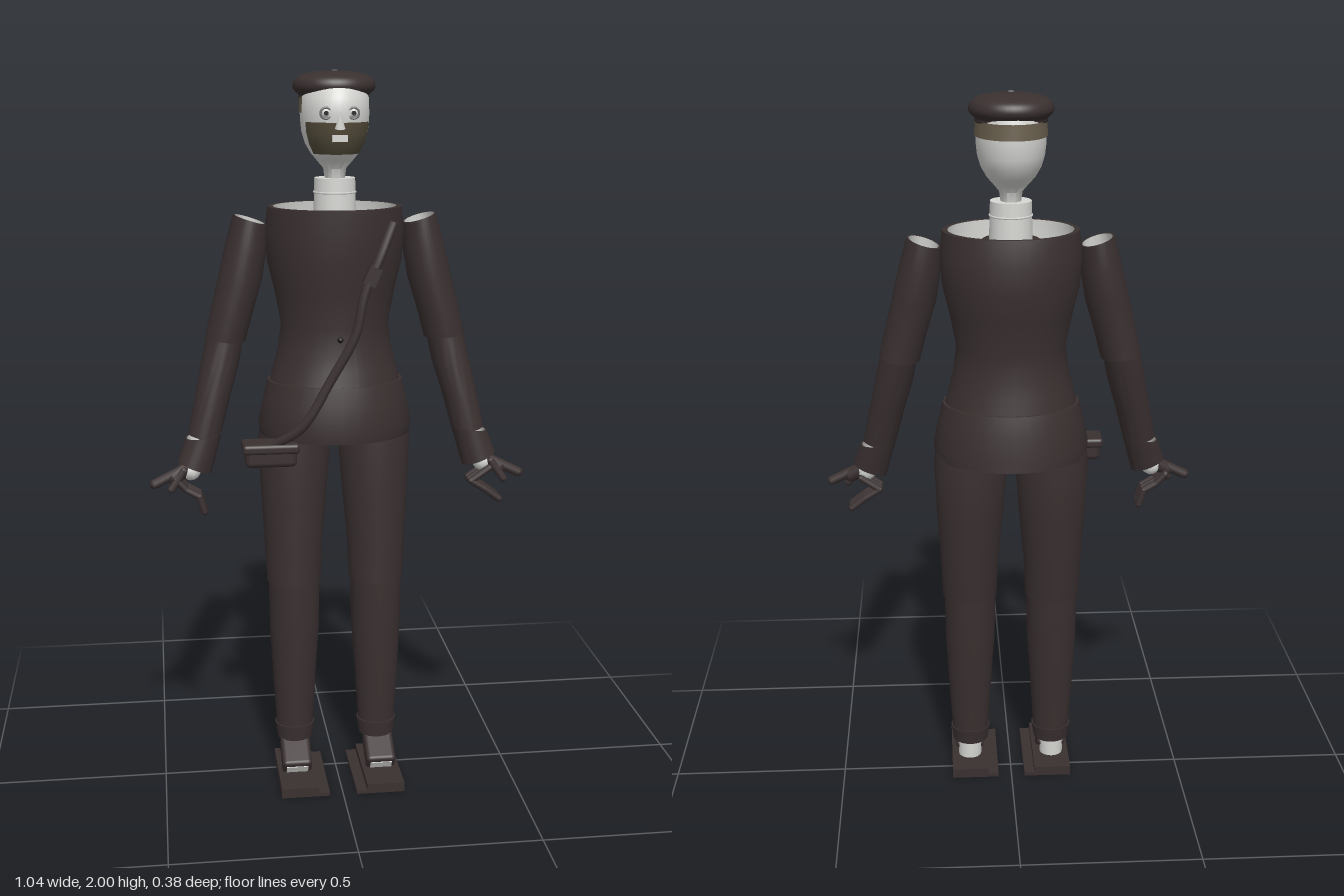
import * as THREE from 'three';
import { toCreasedNormals } from 'three/addons/utils/BufferGeometryUtils.js';
import { RoundedBoxGeometry } from 'three/addons/geometries/RoundedBoxGeometry.js';

const mat = (name, color) => {
  const m = new THREE.MeshStandardMaterial({ color });
  m.name = name;
  return m;
};

// Surface through elliptical rings [x, y, z, rx, rz, tilt], listed bottom to top
function loft(rings, { n = 32, a0 = 0, a1 = Math.PI * 2, cap = false, flip = false } = {}) {
  const pos = [], idx = [];
  const list = rings.slice();
  if (cap) {
    const shut = r => [r[0], r[1], r[2], 0.0005, 0.0005, 0];
    list.unshift(shut(rings[0]));
    list.push(shut(rings[rings.length - 1]));
  }
  for (const [x, y, z, rx, rz, tilt = 0] of list) {
    for (let j = 0; j <= n; j++) {
      const t = a0 + (a1 - a0) * j / n;
      pos.push(x + rx * Math.sin(t), y + tilt * Math.sin(t), z + rz * Math.cos(t));
    }
  }
  for (let i = 0; i < list.length - 1; i++) {
    for (let j = 0; j < n; j++) {
      const a = i * (n + 1) + j, b = a + 1, c = b + n + 1, d = a + n + 1;
      if (flip) idx.push(a, c, b, a, d, c);
      else idx.push(a, b, c, a, c, d);
    }
  }
  const g = new THREE.BufferGeometry();
  g.setAttribute('position', new THREE.Float32BufferAttribute(pos, 3));
  g.setIndex(idx);
  return toCreasedNormals(g, 0.8);
}

const inset = (r, k) => [r[0], r[1], r[2], r[3] * k, r[4] * k, (r[5] || 0) * k];
const grow = (rings, d) => rings.map(r => [r[0], r[1], r[2], r[3] + d, r[4] + d, r[5]]);

export function createModel() {
  const model = new THREE.Group();
  const cloth = mat('dark cloth', 0x3a3030);
  const skin = mat('pale grey', 0xd6d6d3);
  const beardMat = mat('olive brown', 0x554d3c);
  const hairMat = mat('hair brown', 0x6a604e);
  const eyeMat = mat('eye grey', 0x77777a);
  const black = mat('black', 0x1c1818);

  const add = (name, geo, m, x = 0, y = 0, z = 0, parent = model) => {
    const mesh = new THREE.Mesh(geo, m);
    mesh.name = name;
    mesh.position.set(x, y, z);
    parent.add(mesh);
    return mesh;
  };
  // Hollow garment: cloth outside with folded rims, pale lining inside
  const garment = (name, rings, parent = model, k = 0.92) => {
    const first = rings[0], last = rings[rings.length - 1];
    add(name, loft([inset(first, k), ...rings, inset(last, k)]), cloth, 0, 0, 0, parent);
    add(name + 'Lining', loft(rings.map(r => inset(r, k)), { flip: true }), skin, 0, 0, 0, parent);
  };
  // Rod between two points
  const rod = (name, a, b, r, m, parent) => {
    const p = new THREE.Vector3(...a), q = new THREE.Vector3(...b), d = q.clone().sub(p);
    const mesh = add(name, new THREE.CapsuleGeometry(r, d.length(), 4, 10), m, 0, 0, 0, parent);
    mesh.position.copy(p).add(q).multiplyScalar(0.5);
    mesh.quaternion.setFromUnitVectors(new THREE.Vector3(0, 1, 0), d.normalize());
  };

  // Jacket: [y, half width, front z, back z]
  const ring = ([y, rx, f, b]) => [0, y, (f + b) / 2, rx, (f - b) / 2];
  const jacket = [
    [1.165, 0.182, 0.128, -0.163], [1.21, 0.17, 0.118, -0.155], [1.26, 0.157, 0.108, -0.147],
    [1.33, 0.148, 0.105, -0.145], [1.42, 0.165, 0.115, -0.165], [1.5, 0.184, 0.125, -0.178],
    [1.58, 0.19, 0.13, -0.18], [1.645, 0.182, 0.13, -0.168],
  ].map(ring);
  garment('jacket', jacket);
  garment('jacketSkirt', [
    [1.02, 0.208, 0.15, -0.19], [1.05, 0.214, 0.152, -0.187],
    [1.12, 0.2, 0.143, -0.18], [1.172, 0.187, 0.132, -0.168],
  ].map(ring));
  add('placket', loft(grow(jacket.slice(0, 5), 0.004), { n: 8, a0: -0.27, a1: 0.27 }), cloth);
  add('button', new THREE.SphereGeometry(0.008, 12, 8), black, 0, 1.3, 0.11);

  // Neck and collar
  add('collar', new THREE.TorusGeometry(0.07, 0.018, 10, 32), cloth, 0, 1.6, -0.015).rotation.x = Math.PI / 2;
  add('neck', new THREE.CylinderGeometry(0.055, 0.058, 0.12, 32), skin, 0, 1.66, -0.015);
  add('neckRing', new THREE.TorusGeometry(0.056, 0.003, 6, 32), skin, 0, 1.682, -0.015).rotation.x = Math.PI / 2;

  // Head
  const head = [
    [0, 1.71, -0.015, 0.026, 0.034], [0, 1.745, -0.015, 0.031, 0.037], [0, 1.765, -0.015, 0.048, 0.06],
    [0, 1.785, -0.017, 0.065, 0.086], [0, 1.81, -0.02, 0.079, 0.106], [0, 1.84, -0.02, 0.088, 0.116],
    [0, 1.868, -0.02, 0.091, 0.12], [0, 1.89, -0.02, 0.092, 0.122], [0, 1.93, -0.02, 0.09, 0.12],
    [0, 1.96, -0.025, 0.078, 0.1],
  ];
  add('head', loft(head, { cap: true, n: 40 }), skin);
  add('beard', loft(grow(head.slice(3, 7), 0.003), { n: 24, a0: -1.1, a1: 1.1 }), beardMat);
  add('hair', loft(grow(head.slice(7, 9), 0.003), { n: 32, a0: 1.3, a1: Math.PI * 2 - 1.3 }), hairMat);
  add('mouth', new THREE.BoxGeometry(0.04, 0.018, 0.008), skin, 0, 1.828, 0.098);
  const nose = add('nose', new THREE.ConeGeometry(0.014, 0.045, 12), skin, 0, 1.875, 0.104);
  nose.rotation.x = 0.25;
  for (const s of [-1, 1]) {
    add('eye', new THREE.SphereGeometry(0.014, 16, 10), skin, s * 0.036, 1.892, 0.086);
    add('eyeRim', new THREE.TorusGeometry(0.014, 0.003, 6, 20), eyeMat, s * 0.036, 1.892, 0.094);
    add('pupil', new THREE.CylinderGeometry(0.006, 0.006, 0.004, 12), black, s * 0.036, 1.892, 0.1)
      .rotation.x = Math.PI / 2;
  }

  // Beret
  const beretProfile = [[0, 0], [0.085, 0], [0.094, 0.014], [0.107, 0.026], [0.11, 0.04],
    [0.102, 0.056], [0.08, 0.067], [0.04, 0.074], [0, 0.075]];
  const beret = add('beret', new THREE.LatheGeometry(
    new THREE.SplineCurve(beretProfile.map(p => new THREE.Vector2(...p))).getPoints(28), 40), cloth, 0, 1.922, -0.034);
  beret.scale.z = 1.03;
  add('beretNub', new THREE.CylinderGeometry(0.008, 0.008, 0.005, 12), eyeMat, 0, 1.9975, -0.02);

  // Shoulder strap and pouch
  const strapPath = new THREE.CatmullRomCurve3([
    [0.14, 1.61, 0.105], [0.1, 1.52, 0.135], [0.06, 1.43, 0.147], [0.035, 1.32, 0.15],
    [-0.03, 1.2, 0.15], [-0.11, 1.07, 0.15], [-0.18, 1.02, 0.12],
  ].map(p => new THREE.Vector3(...p)));
  add('strap', new THREE.TubeGeometry(strapPath, 48, 0.013, 8), cloth);
  const buckle = add('strapBuckle', new THREE.BoxGeometry(0.034, 0.05, 0.03), cloth, 0.08, 1.475, 0.142);
  buckle.rotation.z = -0.42;
  add('pouch', new RoundedBoxGeometry(0.14, 0.06, 0.075, 3, 0.015), cloth, -0.19, 0.988, 0.1);
  add('pouchFlap', new RoundedBoxGeometry(0.155, 0.028, 0.085, 3, 0.01), cloth, -0.19, 1.01, 0.1);

  for (const s of [-1, 1]) {
    const side = rings => rings.map(([x, y, z, rx, rz, t = 0]) => [s * x, y, z, rx, rz, s * t]);

    // Arm
    const arm = new THREE.Group();
    arm.name = s > 0 ? 'leftArm' : 'rightArm';
    model.add(arm);
    garment('upperSleeve', side([
      [0.302, 1.29, 0, 0.055, 0.062, 0.005], [0.285, 1.36, 0, 0.058, 0.064], [0.26, 1.45, -0.005, 0.06, 0.068],
      [0.242, 1.54, -0.01, 0.057, 0.071], [0.23, 1.612, -0.012, 0.045, 0.063, 0.014],
    ]), arm, 0.88);
    garment('lowerSleeve', side([
      [0.367, 1.03, 0.045, 0.043, 0.045, 0.01], [0.343, 1.13, 0.03, 0.048, 0.052],
      [0.32, 1.22, 0.012, 0.052, 0.058], [0.302, 1.305, 0, 0.051, 0.059],
    ]), arm);
    garment('cuff', side([
      [0.395, 0.95, 0.06, 0.046, 0.046, 0.018], [0.368, 1.035, 0.047, 0.05, 0.05, -0.008],
    ]), arm);

    // Hand
    rod('wrist', [s * 0.385, 0.98, 0.058], [s * 0.405, 0.94, 0.066], 0.027, skin, arm);
    rod('palm', [s * 0.42, 0.945, 0.07], [s * 0.45, 0.925, 0.075], 0.02, cloth, arm);
    rod('pointingFinger', [s * 0.44, 0.94, 0.075], [s * 0.505, 0.908, 0.077], 0.014, cloth, arm);
    rod('thumb', [s * 0.425, 0.945, 0.085], [s * 0.46, 0.895, 0.092], 0.011, cloth, arm);
    const curl = s > 0
      ? [[0.42, 0.925], [0.37, 0.89], [0.41, 0.865], [0.45, 0.835]]
      : [[0.445, 0.92], [0.42, 0.892], [0.385, 0.872], [0.372, 0.828]];
    for (let f = 0; f < 3; f++) {
      const z = 0.045 + f * 0.022;
      for (let i = 0; i < 3; i++) {
        rod('curledFinger', [s * curl[i][0], curl[i][1], z], [s * curl[i + 1][0], curl[i + 1][1], z], 0.01, cloth, arm);
      }
    }

    // Leg
    const leg = new THREE.Group();
    leg.name = s > 0 ? 'leftLeg' : 'rightLeg';
    model.add(leg);
    const legPart = (name, rings) => add(name, loft(side(rings), { cap: true }), cloth, 0, 0, 0, leg);
    legPart('thigh', [
      [0.118, 0.585, -0.012, 0.077, 0.079], [0.118, 0.7, -0.02, 0.082, 0.084], [0.115, 0.85, -0.028, 0.093, 0.09],
      [0.112, 1.0, -0.035, 0.102, 0.096], [0.11, 1.06, -0.035, 0.095, 0.09],
    ]);
    legPart('shin', [
      [0.12, 0.145, -0.003, 0.053, 0.051], [0.12, 0.3, -0.005, 0.062, 0.06],
      [0.118, 0.45, -0.01, 0.071, 0.072], [0.118, 0.6, -0.012, 0.073, 0.076],
    ]);
    legPart('trouserCuff', [[0.12, 0.105, 0, 0.051, 0.049], [0.12, 0.15, -0.002, 0.057, 0.055]]);

    // Foot
    add('ankle', new THREE.CylinderGeometry(0.036, 0.034, 0.08, 20), skin, s * 0.122, 0.085, 0.005, leg);
    const shoe = new THREE.Group();
    shoe.name = 'shoe';
    shoe.position.set(s * 0.122, 0.068, 0.048);
    shoe.rotation.x = 0.55;
    leg.add(shoe);
    add('shoeUpper', new RoundedBoxGeometry(0.085, 0.055, 0.11, 3, 0.012), cloth, 0, 0, 0, shoe);
    add('shoeFront', new THREE.BoxGeometry(0.062, 0.03, 0.004), skin, 0, -0.002, 0.055, shoe);
    add('sole', new THREE.BoxGeometry(0.107, 0.018, 0.255), cloth, s * 0.122, 0.019, 0.0625, leg);
    add('soleBase', new THREE.BoxGeometry(0.137, 0.01, 0.255), cloth, s * 0.107, 0.005, 0.0625, leg);
  }
  return model;
}
